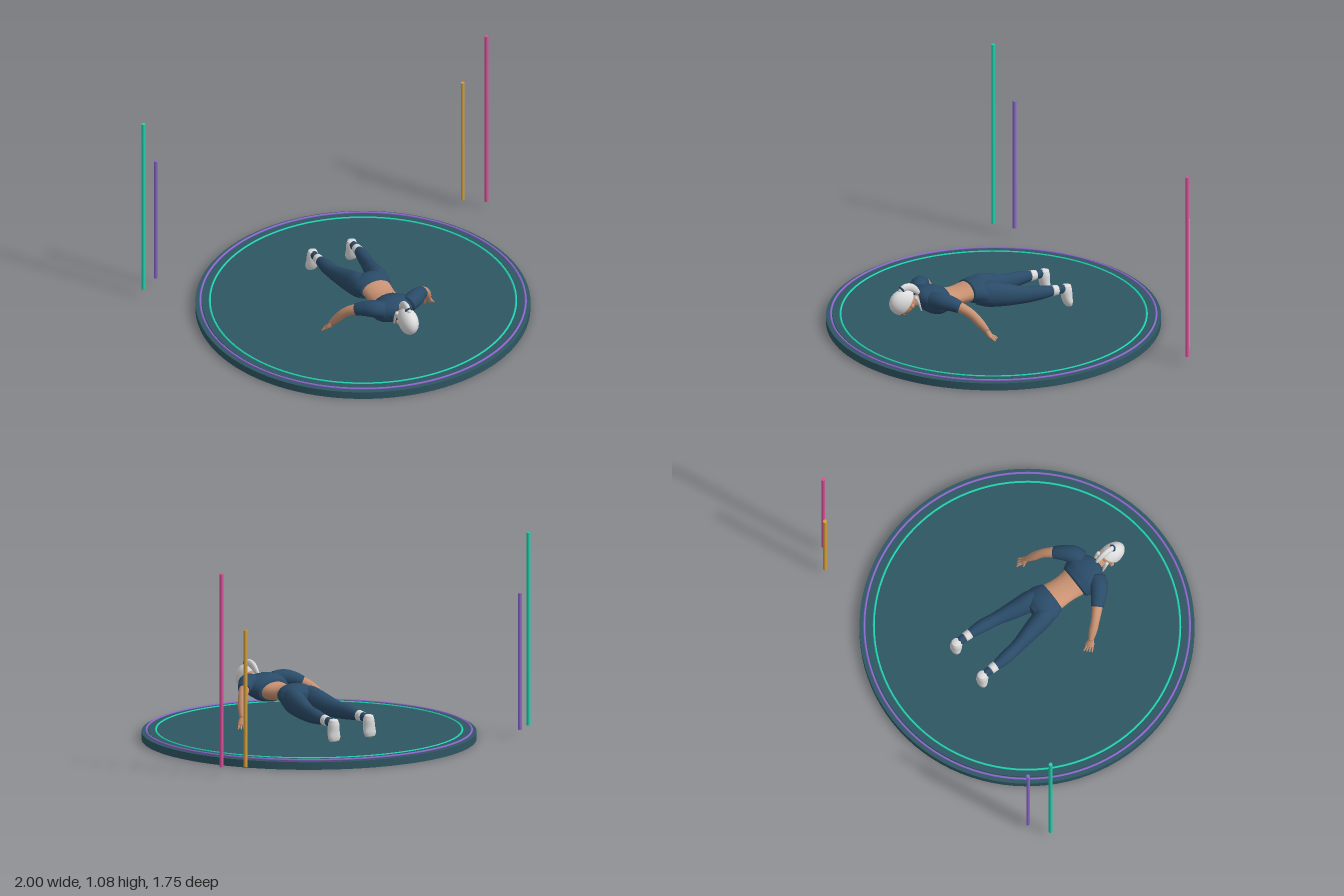
import * as THREE from 'three';

const mat = (name, color) => {
  const m = new THREE.MeshStandardMaterial({ color });
  m.name = name;
  return m;
};

// Smooth closed loft through sections [x, y, z, halfWidth, halfHeight]
function loft(sections, ref = [0, 1, 0], sides = 20, steps = 20) {
  const path = new THREE.CatmullRomCurve3(sections.map(s => new THREE.Vector3(s[0], s[1], s[2])), false, 'catmullrom');
  const size = new THREE.CatmullRomCurve3(sections.map(s => new THREE.Vector3(s[3], s[4], 0)), false, 'catmullrom');
  const up = new THREE.Vector3(...ref), pos = [], idx = [];
  const ends = [];
  for (let i = 0; i <= steps; i++) {
    const t = i / steps, c = path.getPoint(t), r = size.getPoint(t), T = path.getTangent(t);
    const S = new THREE.Vector3().crossVectors(up, T).normalize();
    const U = new THREE.Vector3().crossVectors(T, S);
    for (let j = 0; j < sides; j++) {
      const a = j / sides * Math.PI * 2;
      const p = c.clone().addScaledVector(S, Math.cos(a) * r.x).addScaledVector(U, Math.sin(a) * r.y);
      pos.push(p.x, p.y, p.z);
      if (i < steps) {
        const k = (j + 1) % sides, b = i * sides, n = b + sides;
        idx.push(b + j, b + k, n + j, b + k, n + k, n + j);
      }
    }
    if (i === 0 || i === steps) ends.push(c.addScaledVector(T, (i ? 0.3 : -0.3) * Math.min(r.x, r.y)));
  }
  // slightly domed ends
  const first = (steps + 1) * sides, last = first + 1, b = steps * sides;
  ends.forEach(p => pos.push(p.x, p.y, p.z));
  for (let j = 0; j < sides; j++) {
    const k = (j + 1) % sides;
    idx.push(first, k, j, last, b + j, b + k);
  }
  const g = new THREE.BufferGeometry();
  g.setAttribute('position', new THREE.Float32BufferAttribute(pos, 3));
  g.setIndex(idx);
  g.computeVertexNormals();
  return g;
}

export function createModel() {
  const root = new THREE.Group();
  root.name = 'pushUpScene';
  const floor = mat('platformTeal', 0x2e5662), teal = mat('brightTeal', 0x20d3b0), purple = mat('purple', 0x8c68cc),
    pink = mat('pink', 0xd9529a), gold = mat('gold', 0xd4a03c), skin = mat('skin', 0xc99272),
    navy = mat('navyCloth', 0x2a4b68), white = mat('paleGrey', 0xdcdcdc), dark = mat('darkBrown', 0x2a2020);

  const add = (name, geo, m, x = 0, y = 0, z = 0, parent = root) => {
    const mesh = new THREE.Mesh(geo, m);
    mesh.name = name;
    mesh.position.set(x, y, z);
    parent.add(mesh);
    return mesh;
  };

  // Platform with two inlaid rings
  add('platform', new THREE.CylinderGeometry(0.875, 0.875, 0.04, 96), floor, 0, 0.02, 0);
  add('platformTop', new THREE.CylinderGeometry(0.84, 0.84, 0.008, 96), floor, 0, 0.044, 0);
  for (const [name, r, tube, m] of [['outerRing', 0.85, 0.006, purple], ['innerRing', 0.8, 0.006, teal]])
    add(name, new THREE.TorusGeometry(r, tube, 8, 96).rotateX(Math.PI / 2), m, 0, 0.047, 0);

  // Upright light poles
  for (const [name, x, z, top, m] of [['tealPole', -0.99, -0.587, 1.075, teal], ['purplePole', -0.885, -0.655, 0.775, purple],
    ['goldPole', 0.885, -0.655, 0.775, gold], ['pinkPole', 0.99, -0.587, 1.075, pink]])
    add(name, new THREE.CylinderGeometry(0.01, 0.01, top - 0.05, 16), m, x, (top + 0.05) / 2, z);

  // Body, lying along z with the head toward the front
  const body = new THREE.Group();
  body.name = 'athlete';
  root.add(body);
  const part = (name, sections, m, ref, sides, steps) => add(name, loft(sections, ref, sides, steps), m, 0, 0, 0, body);

  part('shirt', [[0, 0.235, 0.462, 0.04, 0.03], [0, 0.235, 0.435, 0.085, 0.052], [0, 0.226, 0.395, 0.125, 0.068],
    [0, 0.214, 0.355, 0.118, 0.072], [0, 0.207, 0.31, 0.095, 0.06]], navy);
  part('waist', [[0, 0.207, 0.33, 0.085, 0.053], [0, 0.208, 0.24, 0.076, 0.043], [0, 0.215, 0.15, 0.082, 0.05]], skin);
  part('hips', [[0, 0.217, 0.165, 0.086, 0.054], [0, 0.21, 0.11, 0.105, 0.067], [0, 0.2, 0.07, 0.1, 0.062],
    [0, 0.195, 0.04, 0.07, 0.045]], navy);
  part('neck', [[0, 0.235, 0.44, 0.034, 0.034], [0, 0.232, 0.475, 0.027, 0.03], [0, 0.235, 0.52, 0.028, 0.032]], skin);

  // Head looking at the floor
  const ball = (name, m, x, y, z, rx, ry, rz) => {
    const s = add(name, new THREE.SphereGeometry(1, 24, 16), m, x, y, z, body);
    s.scale.set(rx, ry, rz);
  };
  ball('head', skin, 0, 0.236, 0.55, 0.045, 0.062, 0.07);
  ball('nose', skin, 0, 0.174, 0.545, 0.007, 0.009, 0.011);
  const cap = new THREE.SphereGeometry(1, 32, 20, 0, Math.PI * 2, 0, Math.PI * 0.56)
    .rotateX(0.95).scale(0.051, 0.07, 0.078);
  add('hairCap', cap, white, 0, 0.24, 0.551, body);
  part('ponytail', [[0, 0.298, 0.57, 0.014, 0.01], [0, 0.318, 0.545, 0.02, 0.014], [0, 0.314, 0.505, 0.022, 0.014],
    [0, 0.285, 0.468, 0.016, 0.011], [0, 0.26, 0.452, 0.006, 0.005]], white, [1, 0, 0]);
  add('hairTie', new THREE.TorusGeometry(0.015, 0.005, 8, 20), navy, 0, 0.314, 0.558, body).rotation.x = 0.6;

  for (const s of [1, -1]) {
    const side = s > 0 ? 'left' : 'right';
    const pair = (name, sections, m, ref, sides, steps) =>
      part(side + name, sections.map(p => [p[0] * s, ...p.slice(1)]), m, ref, sides, steps);

    // Face details
    ball(side + 'Ear', skin, s * 0.047, 0.228, 0.52, 0.007, 0.012, 0.012);
    ball(side + 'Eye', dark, s * 0.018, 0.182, 0.57, 0.007, 0.004, 0.005);
    pair('HairStrand', [[0.036, 0.27, 0.495, 0.01, 0.01], [0.038, 0.23, 0.476, 0.007, 0.008],
      [0.036, 0.185, 0.46, 0.003, 0.003]], white, [1, 0, 0], 10, 10);

    // Arm, sleeve and hand
    pair('Sleeve', [[0.065, 0.245, 0.41, 0.045, 0.042], [0.115, 0.252, 0.385, 0.047, 0.045],
      [0.155, 0.245, 0.35, 0.04, 0.04], [0.188, 0.23, 0.318, 0.033, 0.033]], navy);
    pair('Arm', [[0.15, 0.245, 0.355, 0.03, 0.03], [0.195, 0.227, 0.312, 0.027, 0.028], [0.232, 0.195, 0.272, 0.023, 0.025],
      [0.258, 0.15, 0.238, 0.022, 0.023], [0.28, 0.105, 0.207, 0.014, 0.016]], skin);
    pair('Palm', [[0.278, 0.11, 0.21, 0.014, 0.014], [0.288, 0.088, 0.198, 0.021, 0.012],
      [0.297, 0.072, 0.188, 0.021, 0.009]], skin, undefined, 14, 10);
    for (let f = 0; f < 4; f++) {
      const o = (f - 1.5) * 0.0105;
      pair('Finger' + (f + 1), [[0.294 + o * 0.65, 0.076, 0.189 + o * 0.75, 0.0055, 0.0055],
        [0.302 + o * 0.8, 0.067, 0.177 + o * 0.9, 0.005, 0.005], [0.308 + o, 0.057, 0.167 + o, 0.004, 0.004]], skin, undefined, 8, 6);
    }
    pair('Thumb', [[0.278, 0.092, 0.195, 0.007, 0.007], [0.272, 0.075, 0.185, 0.006, 0.006],
      [0.272, 0.058, 0.178, 0.004, 0.004]], skin, undefined, 8, 6);

    // Leg, sock and shoe standing on its toe
    pair('Leg', [[0.048, 0.205, 0.125, 0.042, 0.056], [0.058, 0.196, 0.06, 0.053, 0.068], [0.074, 0.178, -0.03, 0.046, 0.06],
      [0.094, 0.163, -0.13, 0.035, 0.046], [0.107, 0.16, -0.22, 0.034, 0.038], [0.112, 0.155, -0.3, 0.023, 0.026],
      [0.113, 0.152, -0.36, 0.021, 0.022]], navy, undefined, 20, 32);
    pair('Sock', [[0.112, 0.156, -0.287, 0.026, 0.029], [0.112, 0.155, -0.305, 0.026, 0.028],
      [0.113, 0.154, -0.322, 0.0245, 0.026]], white, undefined, 20, 6);
    pair('Shoe', [[0.113, 0.17, -0.377, 0.022, 0.023], [0.113, 0.145, -0.375, 0.03, 0.03], [0.114, 0.11, -0.376, 0.033, 0.029],
      [0.115, 0.078, -0.382, 0.036, 0.024], [0.115, 0.058, -0.386, 0.028, 0.017]], white, [0, 0, 1]);
  }
  return root;
}
